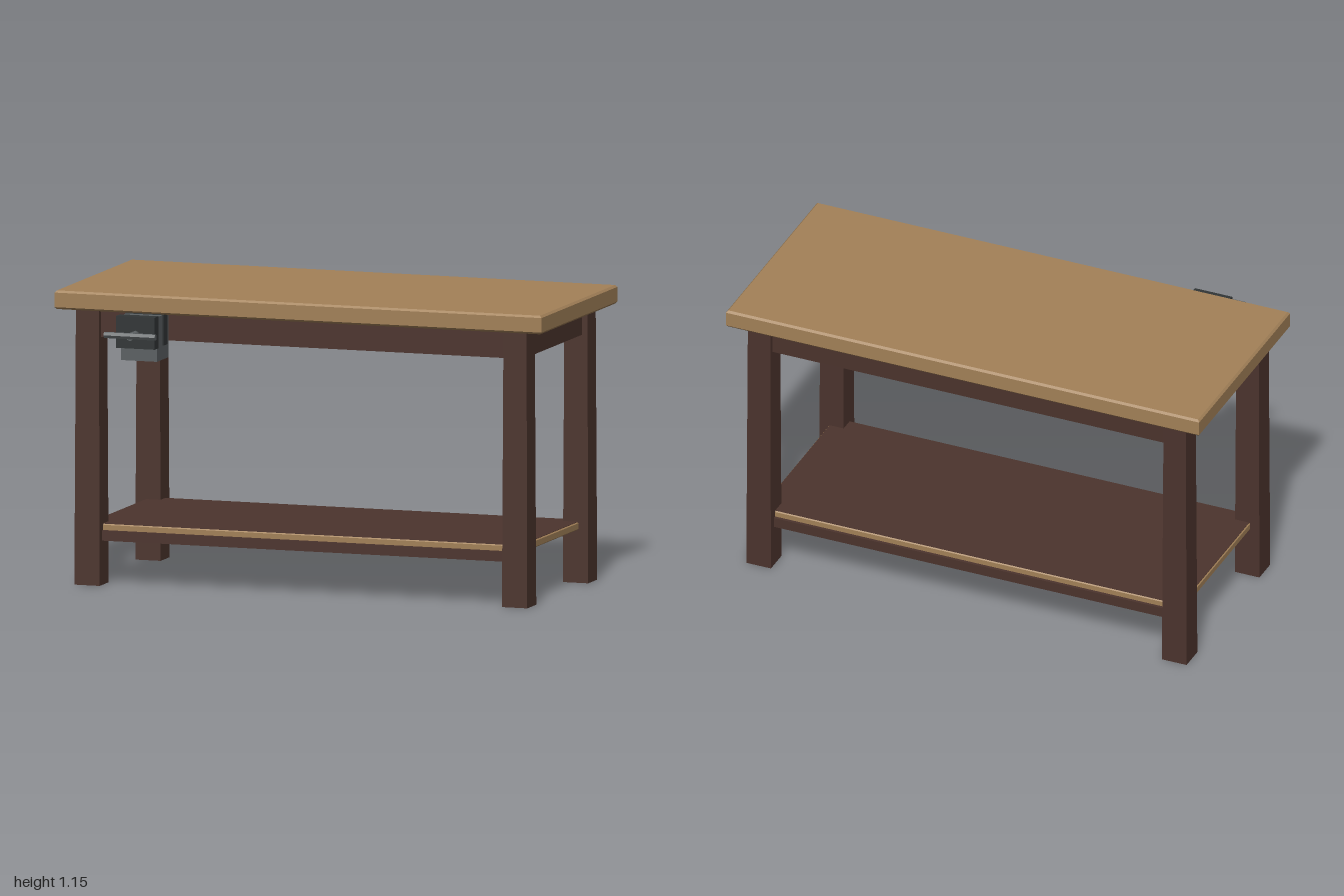
import * as THREE from 'three';

const wood = new THREE.MeshStandardMaterial({ name: 'lightWood', color: 0xa38158 });
const darkWood = new THREE.MeshStandardMaterial({ name: 'darkWood', color: 0x4c342d });
const steel = new THREE.MeshStandardMaterial({ name: 'steel', color: 0x5b6062 });
const darkSteel = new THREE.MeshStandardMaterial({ name: 'darkSteel', color: 0x313536 });

const CZ = -0.09;               // centre of the frame in z
const LEG_X = 0.878, LEG_Z = 0.35; // leg offsets from the frame centre

export function createModel() {
  const model = new THREE.Group();
  model.name = 'workbench';

  const add = (parent, name, geometry, material, x, y, z) => {
    const mesh = new THREE.Mesh(geometry, material);
    mesh.name = name;
    mesh.position.set(x, y, z);
    parent.add(mesh);
    return mesh;
  };
  const box = (parent, name, material, w, h, d, x, y, z) =>
    add(parent, name, new THREE.BoxGeometry(w, h, d), material, x, y, z);

  // Board with chamfered edges, lying flat and centred on its origin
  const board = (w, h, d, c) => {
    const a = w / 2 - c, b = d / 2 - c;
    const shape = new THREE.Shape([
      new THREE.Vector2(-a, -b), new THREE.Vector2(a, -b),
      new THREE.Vector2(a, b), new THREE.Vector2(-a, b),
    ]);
    const geo = new THREE.ExtrudeGeometry(shape, {
      depth: h - 2 * c, bevelEnabled: true, bevelSegments: 1, bevelSize: c, bevelThickness: c,
    });
    return geo.rotateX(-Math.PI / 2).translate(0, c - h / 2, 0);
  };

  // Worktop
  add(model, 'worktop', board(2, 0.073, 0.875, 0.008), wood, 0, 1.1145, -0.0925);

  // Legs, slightly narrower at the top
  const legGeo = new THREE.BoxGeometry(0.104, 1.08, 0.104);
  const p = legGeo.attributes.position;
  for (let i = 0; i < p.count; i++) {
    if (p.getY(i) > 0) p.setXYZ(i, p.getX(i) * 0.91, p.getY(i), p.getZ(i) * 0.91);
  }
  legGeo.computeVertexNormals();
  for (const sx of [-1, 1]) {
    for (const sz of [-1, 1]) add(model, 'leg', legGeo, darkWood, sx * LEG_X, 0.54, CZ + sz * LEG_Z);
  }

  // Aprons under the worktop and stretchers under the shelf
  for (const s of [-1, 1]) {
    box(model, 'longApron', darkWood, 2 * LEG_X, 0.11, 0.05, 0, 1.025, CZ + s * LEG_Z);
    box(model, 'sideApron', darkWood, 0.05, 0.11, 2 * LEG_Z, s * LEG_X, 1.025, CZ);
    box(model, 'stretcher', darkWood, 2 * LEG_X, 0.04, 0.045, 0, 0.193, CZ + s * LEG_Z);
  }

  // Lower shelf with a dark upper face
  add(model, 'shelf', board(1.78, 0.03, 0.72, 0.004), wood, 0, 0.222, CZ);
  box(model, 'shelfTopFace', darkWood, 1.772, 0.003, 0.712, 0, 0.237, CZ);

  // Vise on the front edge
  const vise = new THREE.Group();
  vise.name = 'vise';
  vise.position.set(-0.628, 1.012, 0);
  model.add(vise);
  box(vise, 'viseBody', steel, 0.148, 0.174, 0.13, 0, -0.021, 0.35);
  box(vise, 'rearJaw', darkSteel, 0.158, 0.12, 0.045, 0, 0.007, 0.3325);
  box(vise, 'frontJaw', darkSteel, 0.158, 0.125, 0.045, 0, 0.0075, 0.4325);
  const screw = new THREE.CylinderGeometry(0.016, 0.016, 0.07, 8).rotateX(Math.PI / 2).toNonIndexed();
  screw.computeVertexNormals();
  add(vise, 'viseScrew', screw, steel, 0, 0, 0.485);
  const handle = new THREE.CylinderGeometry(0.013, 0.013, 0.21, 6).rotateZ(Math.PI / 2).toNonIndexed();
  handle.computeVertexNormals();
  add(vise, 'viseHandle', handle, steel, 0, 0.003, 0.517);

  return model;
}
